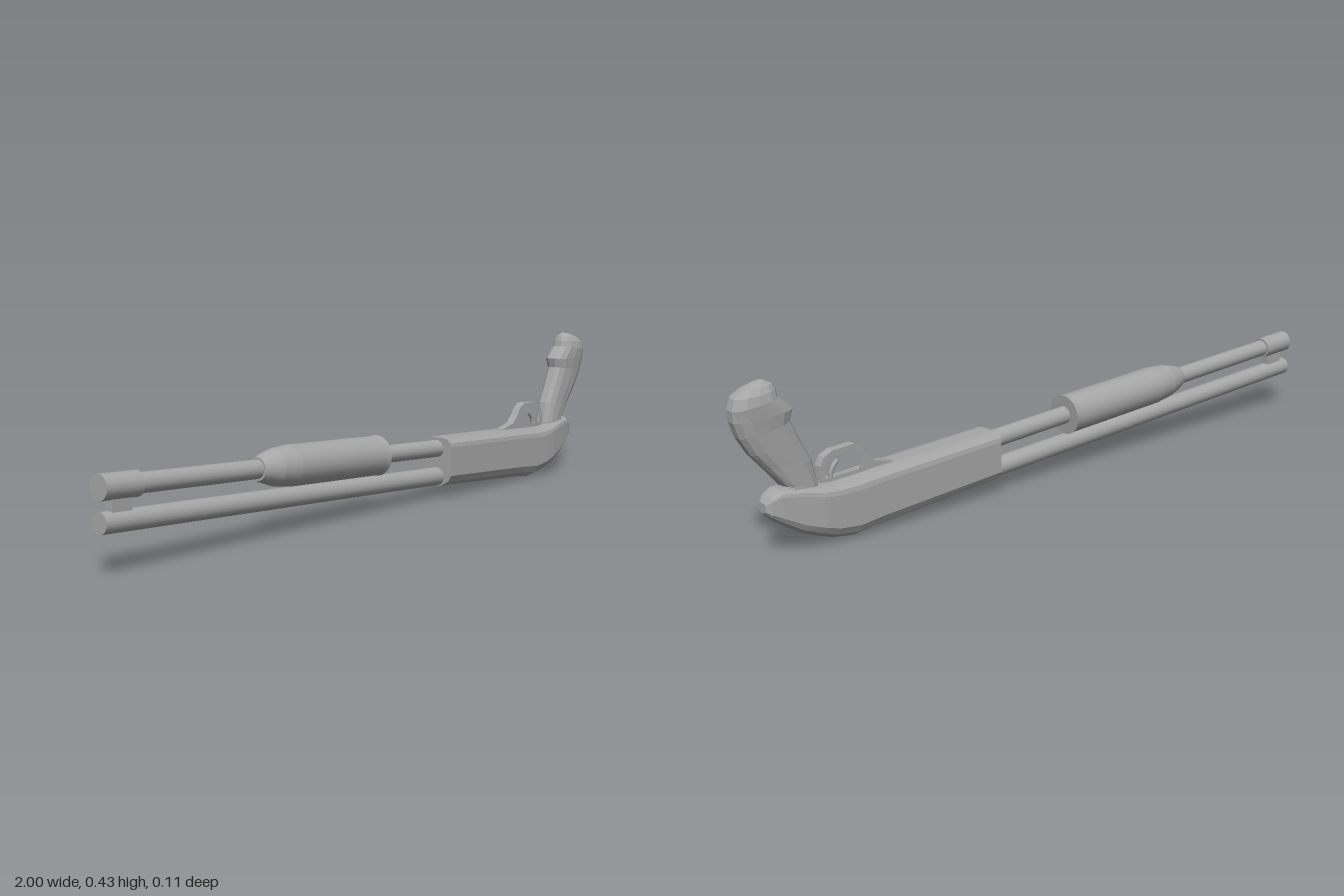
import * as THREE from 'three';

const metal = new THREE.MeshStandardMaterial({ color: 0xa6a6a6 });
metal.name = 'grey';
const facetedMetal = metal.clone();
facetedMetal.name = 'grey faceted';
facetedMetal.flatShading = true;

function add(parent, name, geometry, material = metal) {
  const mesh = new THREE.Mesh(geometry, material);
  mesh.name = name;
  parent.add(mesh);
  return mesh;
}

// Skin over equal-length rings of [x, y, z] points, closed at both ends
function loft(rings) {
  const n = rings[0].length;
  const points = rings.flat();
  const index = [];
  for (let i = 0; i < rings.length - 1; i++) {
    for (let j = 0; j < n; j++) {
      const a = i * n + j, b = i * n + (j + 1) % n;
      index.push(a, b, a + n, b, b + n, a + n);
    }
  }
  const last = (rings.length - 1) * n;
  for (let j = 1; j < n - 1; j++) {
    index.push(0, j + 1, j, last, last + j, last + j + 1);
  }
  const geometry = new THREE.BufferGeometry();
  geometry.setAttribute('position', new THREE.Float32BufferAttribute(points.flat(), 3));
  geometry.setIndex(index);
  geometry.computeVertexNormals();
  return geometry;
}

// Turned part lying along x: profile of [distance, radius]; each segment keeps its own edge
function turned(profile, y) {
  const group = new THREE.Group();
  for (let i = 0; i < profile.length - 1; i++) {
    const [x0, r0] = profile[i], [x1, r1] = profile[i + 1];
    const g = new THREE.CylinderGeometry(r1, r0, x1 - x0, 28);
    g.rotateZ(-Math.PI / 2);
    g.translate((x0 + x1) / 2, y, 0);
    add(group, 'section' + (i + 1), g);
  }
  return group;
}

export function createModel() {
  const model = new THREE.Group();

  // Two parallel tubes, sloping gently down towards the body
  const tubes = new THREE.Group();
  tubes.name = 'tubes';
  tubes.position.x = -1;
  tubes.rotation.z = -0.053;
  model.add(tubes);
  const upperY = 0.208, lowerY = 0.127;
  const turnedParts = {
    lowerTube: [lowerY, [[-0.006, 0.026], [1.3, 0.026]]],
    upperTube: [upperY, [[0.08, 0.0245], [1.3, 0.0245]]],
    endCap: [upperY, [[-0.01, 0.031], [0.1, 0.031]]],
    slidingHandle: [upperY, [[0.49, 0.03], [0.505, 0.036], [0.545, 0.048], [0.6, 0.054],
      [0.935, 0.054], [0.953, 0.056]]],
  };
  for (const [name, [y, profile]] of Object.entries(turnedParts)) {
    const part = turned(profile, y);
    part.name = name;
    tubes.add(part);
  }
  const bracket = add(tubes, 'tubeBracket', new THREE.BoxGeometry(0.06, 0.06, 0.024));
  bracket.position.set(0.05, 0.168, 0);

  // Body: rounded underneath, chamfered on top, tapering to the rear: [x, bottom, top, half width]
  const half = [[0.35, 1], [0.72, 0.98], [0.95, 0.9], [1, 0.82], [1, 0.23], [0.8, 0.1], [0.3, 0]];
  const section = [...half, ...half.slice().reverse().map(([z, y]) => [-z, y])];
  const body = [
    [0.238, 0.035, 0.175, 0.052], [0.62, 0.009, 0.158, 0.052], [0.687, 0.001, 0.154, 0.052],
    [0.746, 0.011, 0.152, 0.052], [0.785, 0.024, 0.156, 0.05], [0.837, 0.045, 0.166, 0.042],
    [0.89, 0.08, 0.168, 0.033], [0.915, 0.1, 0.155, 0.027], [0.928, 0.115, 0.14, 0.015],
  ];
  add(model, 'body', loft(body.map(([x, y0, y1, w]) =>
    section.map(([z, t]) => [x, y0 + (y1 - y0) * t, z * w]))), facetedMetal);

  // Curved grip: [front x, front y, back x, back y, half width]
  const grip = [
    [0.778, 0.12, 0.9, 0.12, 0.036], [0.78, 0.16, 0.877, 0.172, 0.033],
    [0.794, 0.222, 0.922, 0.225, 0.032], [0.821, 0.275, 0.957, 0.265, 0.033],
    [0.846, 0.33, 0.984, 0.31, 0.034], [0.838, 0.358, 0.998, 0.35, 0.037],
    [0.877, 0.394, 1, 0.378, 0.038], [0.881, 0.412, 0.991, 0.405, 0.033],
    [0.888, 0.426, 0.965, 0.422, 0.023], [0.908, 0.436, 0.93, 0.434, 0.008],
  ];
  const sides = 14;
  const square = v => Math.sign(v) * Math.abs(v) ** 0.75;
  add(model, 'grip', loft(grip.map(([x0, y0, x1, y1, w]) =>
    Array.from({ length: sides }, (_, i) => {
      const a = (i / sides) * Math.PI * 2;
      const t = (square(Math.sin(a)) + 1) / 2;
      return [x0 + (x1 - x0) * t, y0 + (y1 - y0) * t, w * square(Math.cos(a))];
    }))), facetedMetal);

  // Finger guard: flat loop with a ramp in front
  const toPoints = list => list.map(([x, y]) => new THREE.Vector2(x, y));
  const guard = new THREE.Shape(toPoints([[0.555, 0.15], [0.555, 0.162], [0.61, 0.175],
    [0.637, 0.2], [0.652, 0.222], [0.672, 0.232], [0.735, 0.229], [0.76, 0.217],
    [0.772, 0.195], [0.775, 0.145]]));
  guard.holes.push(new THREE.Path(toPoints([[0.663, 0.165], [0.652, 0.185], [0.662, 0.21],
    [0.68, 0.22], [0.733, 0.217], [0.752, 0.207], [0.759, 0.19], [0.758, 0.163]])));
  const guardGeometry = new THREE.ExtrudeGeometry(guard, { depth: 0.024, bevelEnabled: false });
  guardGeometry.translate(0, 0, -0.012);
  add(model, 'fingerGuard', guardGeometry, facetedMetal);

  // Curved lever inside the guard
  const lever = new THREE.CatmullRomCurve3([[0.735, 0.145], [0.735, 0.17], [0.728, 0.185],
    [0.715, 0.198]].map(([x, y]) => new THREE.Vector3(x, y, 0)));
  add(model, 'lever', new THREE.TubeGeometry(lever, 10, 0.006, 8));

  return model;
}
